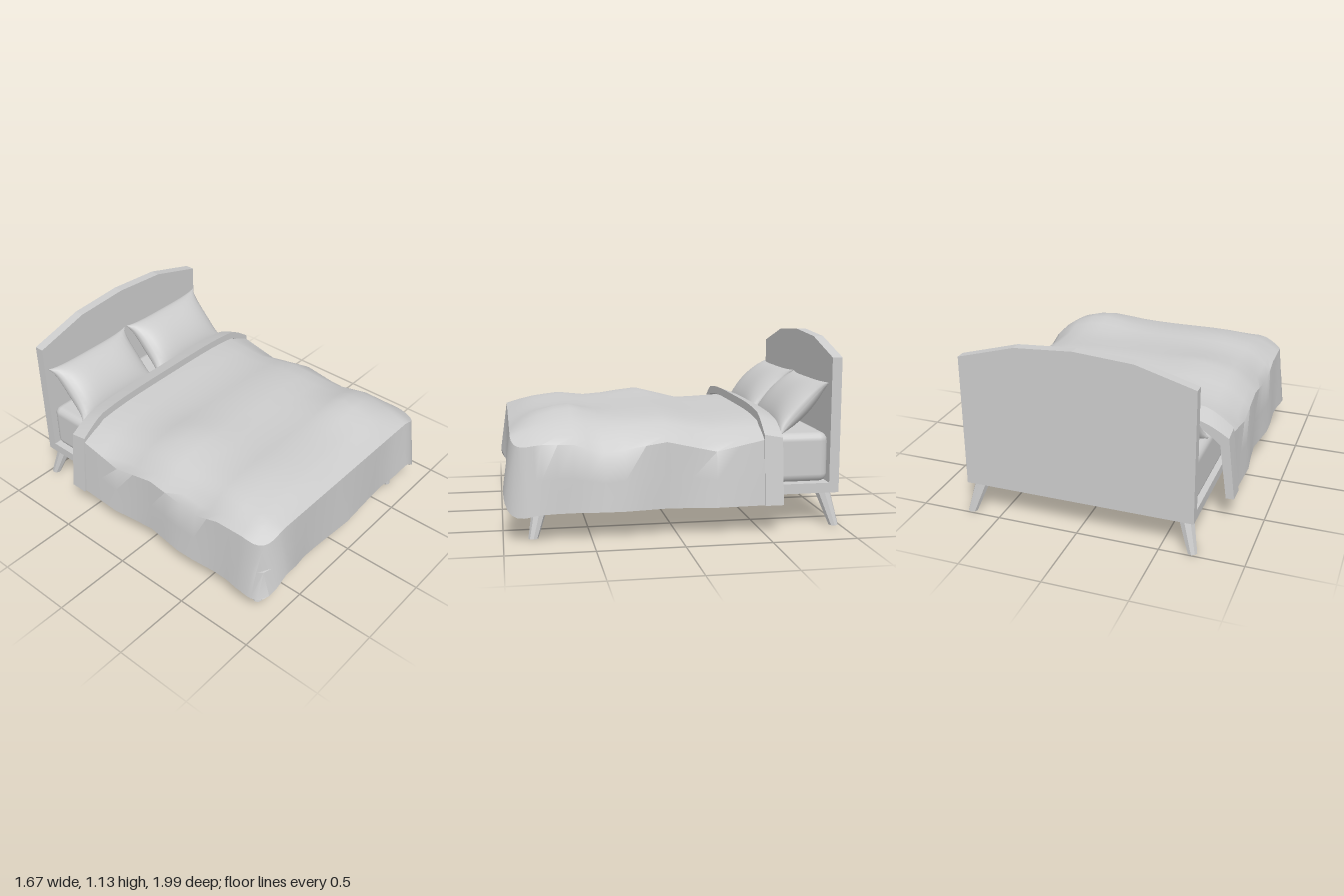
import * as THREE from 'three';
import { toCreasedNormals } from 'three/addons/utils/BufferGeometryUtils.js';
import { RoundedBoxGeometry } from 'three/addons/geometries/RoundedBoxGeometry.js';

const mat = new THREE.MeshStandardMaterial({ color: 0xcccccc });
const lerp = THREE.MathUtils.lerp;

function addMesh(parent, name, geometry, x = 0, y = 0, z = 0) {
  const mesh = new THREE.Mesh(geometry, mat);
  mesh.name = name;
  mesh.position.set(x, y, z);
  parent.add(mesh);
  return mesh;
}

// Piecewise linear lookup in a list of [key, value]
function lookup(table, k) {
  for (let i = 1; i < table.length; i++) {
    const [k0, v0] = table[i - 1], [k1, v1] = table[i];
    if (k <= k1) return lerp(v0, v1, Math.max(0, (k - k0) / (k1 - k0)));
  }
  return table[table.length - 1][1];
}

// Closed shell over a grid: point(a, b, 0) is the outer skin, point(a, b, 1) the inner
function shell(as, bs, point, crease) {
  const na = as.length, nb = bs.length, pos = [], index = [];
  for (const t of [0, 1]) for (const b of bs) for (const a of as) pos.push(...point(a, b, t));
  const id = (i, j, t) => t * na * nb + j * na + i;
  const quad = (a, b, c, d) => index.push(a, b, c, a, c, d);
  for (let j = 0; j < nb - 1; j++) for (let i = 0; i < na - 1; i++) {
    quad(id(i, j, 0), id(i, j + 1, 0), id(i + 1, j + 1, 0), id(i + 1, j, 0));
    quad(id(i, j, 1), id(i + 1, j, 1), id(i + 1, j + 1, 1), id(i, j + 1, 1));
  }
  // rim joining the two skins
  const rim = [];
  for (let i = 0; i < na - 1; i++) rim.push([i, nb - 1]);
  for (let j = nb - 1; j > 0; j--) rim.push([na - 1, j]);
  for (let i = na - 1; i > 0; i--) rim.push([i, 0]);
  for (let j = 0; j < nb - 1; j++) rim.push([0, j]);
  rim.forEach((p, k) => {
    const q = rim[(k + 1) % rim.length];
    quad(id(...p, 0), id(...p, 1), id(...q, 1), id(...q, 0));
  });
  const g = new THREE.BufferGeometry();
  g.setAttribute('position', new THREE.Float32BufferAttribute(pos, 3));
  g.setIndex(index);
  return toCreasedNormals(g, crease);
}

// Cloth hanging over the bed: flat inside HALF_X / FOOT_Z, then over the edge (d = 1) to the hem (d = 2)
const HALF_X = 0.62, FOOT_Z = 0.78;
const sideEdge = [[-0.5, 0.55], [-0.22, 0.49], [0.07, 0.555], [0.43, 0.5], [0.6, 0.555], [0.78, 0.56]];
const sideFlare = [[-0.5, 0.2], [-0.22, 0.21], [0.05, 0.175], [0.35, 0.215], [0.65, 0.19], [0.78, 0.21]];
const footHem = [[0, 0.22], [0.47, 0.22], [0.62, 0.28]];
const footFlare = [[0, 0.195], [0.4, 0.17], [0.62, 0.215]];

function drape(topHeight, thickness, edgeTable, flareTable) {
  return (a, b, t) => {
    const ox = Math.max(Math.abs(a) - 1, 0), oz = Math.max(b - FOOT_Z, 0);
    const d = Math.max(ox, oz), ang = Math.atan2(oz, ox);
    const x0 = THREE.MathUtils.clamp(a, -1, 1) * HALF_X, z0 = Math.min(b, FOOT_Z);
    const s = Math.sin(ang) ** 2, corner = Math.sin(2 * ang) ** 2;
    const edge = lerp(lookup(edgeTable, z0), 0.6, s) - 0.03 * corner;
    const hem = lerp(0.17, lookup(footHem, Math.abs(x0)), s) - 0.06 * corner;
    const flare = lerp(lookup(flareTable, z0), lookup(footFlare, Math.abs(x0)), s);
    const k = Math.max(d - 1, 0), e = Math.min(d, 1);
    let r = d <= 1 ? 0.17 * d : lerp(0.17, flare, k);
    r = r * (1 + 0.13 * corner) - t * thickness * e;
    let y = d <= 1 ? lerp(topHeight(x0, z0), edge, d ** 1.3) : lerp(edge, hem, k);
    y -= t * thickness * (1 - k);
    return [x0 + Math.sign(a) * Math.cos(ang) * r * (ox > 0 ? 1 : 0), y, z0 + Math.sin(ang) * r];
  };
}

const topProfile = [[-0.5, 0.655], [-0.22, 0.64], [0.07, 0.69], [0.43, 0.675], [0.6, 0.69], [0.78, 0.67]];
function blanketTop(x, z) {
  const bump = (cx, cz, h) => h * Math.exp(-(((x - cx) / 0.2) ** 2 + ((z - cz) / 0.2) ** 2));
  return lookup(topProfile, z) - 0.03 * (x / HALF_X) ** 4
    + bump(0.46, 0.65, 0.055) + bump(-0.45, 0.07, 0.03) + bump(-0.4, 0.65, 0.01);
}
const foldTop = (x, z) => lerp(0.67, 0.712, (z + 0.61) / 0.11) - 0.025 * (x / HALF_X) ** 4;

function pillowPoint(a, b, t) {
  const x = a * 0.335 * (1 - 0.1 * (1 - b ** 4));
  const z = b * 0.207 * (1 - 0.07 * (1 - a ** 4));
  const puff = 0.003 + 0.083 * Math.sqrt((1 - a ** 4) * (1 - b * b)) ** 1.1;
  return [x, t ? -puff : puff, z];
}

export function createModel() {
  const bed = new THREE.Group();
  bed.name = 'bed';

  // Arched headboard
  const arch = new THREE.Shape([[-0.7, 0.2], [0.7, 0.2], [0.7, 1.01], [0.35, 1.11], [0, 1.135], [-0.35, 1.11], [-0.7, 1.01]]
    .map(([x, y]) => new THREE.Vector2(x, y)));
  addMesh(bed, 'headboard', new THREE.ExtrudeGeometry(arch, { depth: 0.06, bevelEnabled: false }), 0, 0, -0.99);

  // Frame and mattress
  addMesh(bed, 'frame', new THREE.BoxGeometry(1.4, 0.06, 1.81), 0, 0.23, -0.03);
  addMesh(bed, 'mattress', new RoundedBoxGeometry(1.36, 0.3, 1.8, 2, 0.05), 0, 0.41, -0.03);

  // Tapered legs, splayed outwards
  for (const sx of [-1, 1]) for (const [name, zTop, zFoot] of [['frontLeg', 0.78, 0.83], ['backLeg', -0.91, -0.966]]) {
    const leg = new THREE.CylinderGeometry(0.048, 0.029, 0.2, 8);
    const p = leg.attributes.position;
    for (let i = 0; i < p.count; i++) {
      const k = 0.5 - p.getY(i) / 0.2;
      p.setX(i, p.getX(i) + sx * lerp(0.632, 0.69, k));
      p.setZ(i, p.getZ(i) + lerp(zTop, zFoot, k));
    }
    addMesh(bed, name, toCreasedNormals(leg, 0.5), 0, 0.1, 0);
  }

  // Blanket and its turned-down fold
  const over = [0.25, 0.5, 0.75, 1, 1.5, 2];
  const flat = Array.from({ length: 13 }, (_, i) => -1 + i / 6);
  const across = [...over.map(d => -1 - d).reverse(), ...flat, ...over.map(d => 1 + d)];
  const along = [-0.56, -0.5, -0.36, -0.22, -0.08, 0.07, 0.19, 0.31, 0.43, 0.52, 0.6, 0.69, FOOT_Z, ...over.map(d => FOOT_Z + d)];
  addMesh(bed, 'blanket', shell(across, along, drape(blanketTop, 0.03, sideEdge, sideFlare), 0.75));
  addMesh(bed, 'blanketFold', shell(across, [-0.61, -0.55, -0.5],
    drape(foldTop, 0.05, [[-0.61, 0.56], [-0.5, 0.58]], [[-0.61, 0.215], [-0.5, 0.215]]), 0.75));

  // Leaning pillows
  const steps = Array.from({ length: 17 }, (_, i) => Math.sin((-0.5 + i / 16) * Math.PI));
  for (const sx of [-1, 1]) {
    const pillow = addMesh(bed, 'pillow', shell(steps, steps, pillowPoint, 0.9), sx * 0.345, 0.71, -0.775);
    pillow.rotation.x = 0.81;
  }
  return bed;
}
